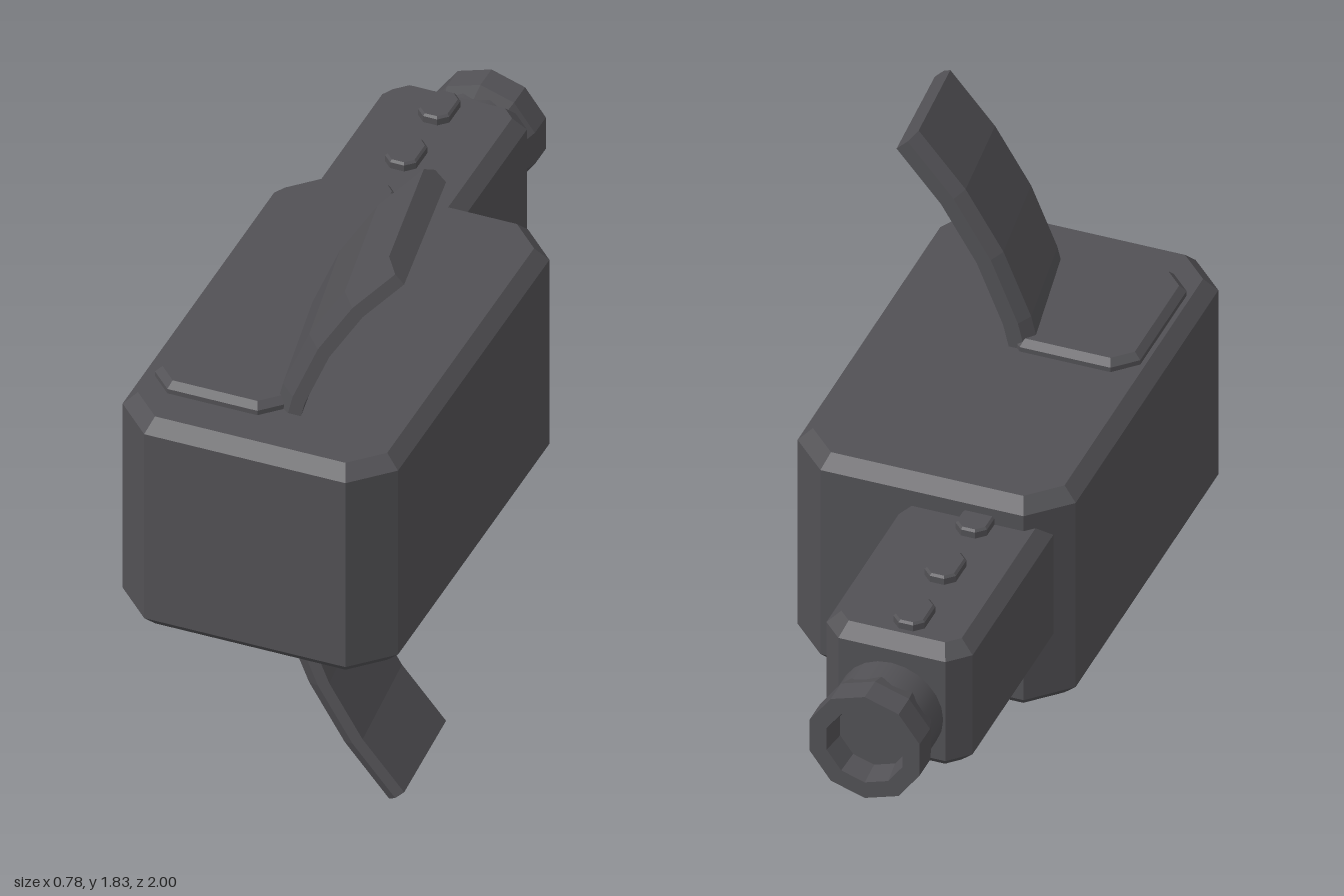
import * as THREE from 'three';

const darkGrey = new THREE.MeshStandardMaterial({ color: 0x525155 });
darkGrey.name = 'darkGrey';

function flat(geometry) {
  const g = geometry.index ? geometry.toNonIndexed() : geometry;
  g.computeVertexNormals();
  return g;
}

function add(group, name, geometry) {
  const mesh = new THREE.Mesh(geometry, darkGrey);
  mesh.name = name;
  group.add(mesh);
  return mesh;
}

// Upright block with cut vertical corners and bevelled top and bottom rims
function slab([x0, x1], [y0, y1], [z0, z1], cut, bevel) {
  const a = -z1, b = -z0;
  const shape = new THREE.Shape([
    [x0 + cut, a], [x1 - cut, a], [x1, a + cut], [x1, b - cut],
    [x1 - cut, b], [x0 + cut, b], [x0, b - cut], [x0, a + cut],
  ].map(([x, y]) => new THREE.Vector2(x, y)));
  const g = new THREE.ExtrudeGeometry(shape, {
    depth: y1 - y0 - 2 * bevel, bevelEnabled: true, bevelSegments: 1,
    bevelSize: bevel, bevelThickness: bevel, bevelOffset: -bevel,
  });
  g.rotateX(-Math.PI / 2).translate(0, y0 + bevel, 0);
  return flat(g);
}

// Curved band: a slanted, chamfered section swept round an arc about the z axis
function arcBand(section, cx, cy, from, to, steps) {
  const pos = [], index = [], n = section.length;
  for (let i = 0; i <= steps; i++) {
    const t = from + (to - from) * i / steps;
    for (const [r, z] of section) pos.push(cx + r * Math.cos(t), cy + r * Math.sin(t), z);
  }
  for (let i = 0; i < steps; i++) {
    for (let j = 0; j < n; j++) {
      const a = i * n + j, b = i * n + (j + 1) % n;
      index.push(a, b, a + n, b, b + n, a + n);
    }
  }
  const last = steps * n;
  for (let j = 1; j < n - 1; j++) {
    index.push(0, j + 1, j, last, last + j, last + j + 1);
  }
  const g = new THREE.BufferGeometry();
  g.setAttribute('position', new THREE.Float32BufferAttribute(pos, 3));
  g.setIndex(index);
  return flat(g);
}

function lathe(points, sides) {
  const g = new THREE.LatheGeometry(points.map(([r, h]) => new THREE.Vector2(r, h)), sides);
  return g.rotateX(-Math.PI / 2).translate(-0.138, 0.932, 0);
}

export function createModel() {
  const model = new THREE.Group();
  model.name = 'device';

  // Main housing and the narrower rear housing
  add(model, 'mainBody', slab([-0.39, 0.39], [0.575, 1.24], [-0.235, 1], 0.105, 0.037));
  add(model, 'rearBody', slab([-0.345, 0.065], [0.765, 1.155], [-0.81, 0], 0.055, 0.036));

  // Raised plates around the band
  add(model, 'topPlate', slab([-0.34, 0.035], [1.18, 1.272], [0.402, 0.855], 0.06, 0.018));
  add(model, 'bottomPlate', slab([-0.235, 0.13], [0.49, 0.68], [0.17, 0.755], 0.06, 0.035));

  // Curved band passing through the body, with a chamfered outer face
  const section = [
    [1.224, 0.413], [1.154, 0.815], [1.19, 0.815],
    [1.232, 0.785], [1.294, 0.445], [1.268, 0.413],
  ];
  add(model, 'curvedBand', arcBand(section, 1.19, 0.928, Math.PI * 0.75, Math.PI * 1.25, 10));

  // Row of buttons on the rear housing
  for (const z of [-0.697, -0.473, -0.25]) {
    add(model, 'button', slab([-0.203, -0.115], [1.14, 1.18], [z - 0.062, z + 0.062], 0.024, 0.006));
  }

  // Eyepiece: round neck, faceted rim and recessed lens
  add(model, 'eyepieceNeck', lathe([[0.146, 0.78], [0.146, 0.9]], 24));
  add(model, 'eyepieceRim', flat(lathe([
    [0.147, 0.88], [0.162, 0.925], [0.162, 1], [0.112, 1], [0.1, 0.93],
  ], 10)));
  add(model, 'eyepieceLens', flat(lathe([[0.102, 0.932], [0, 0.932]], 10)));

  return model;
}
